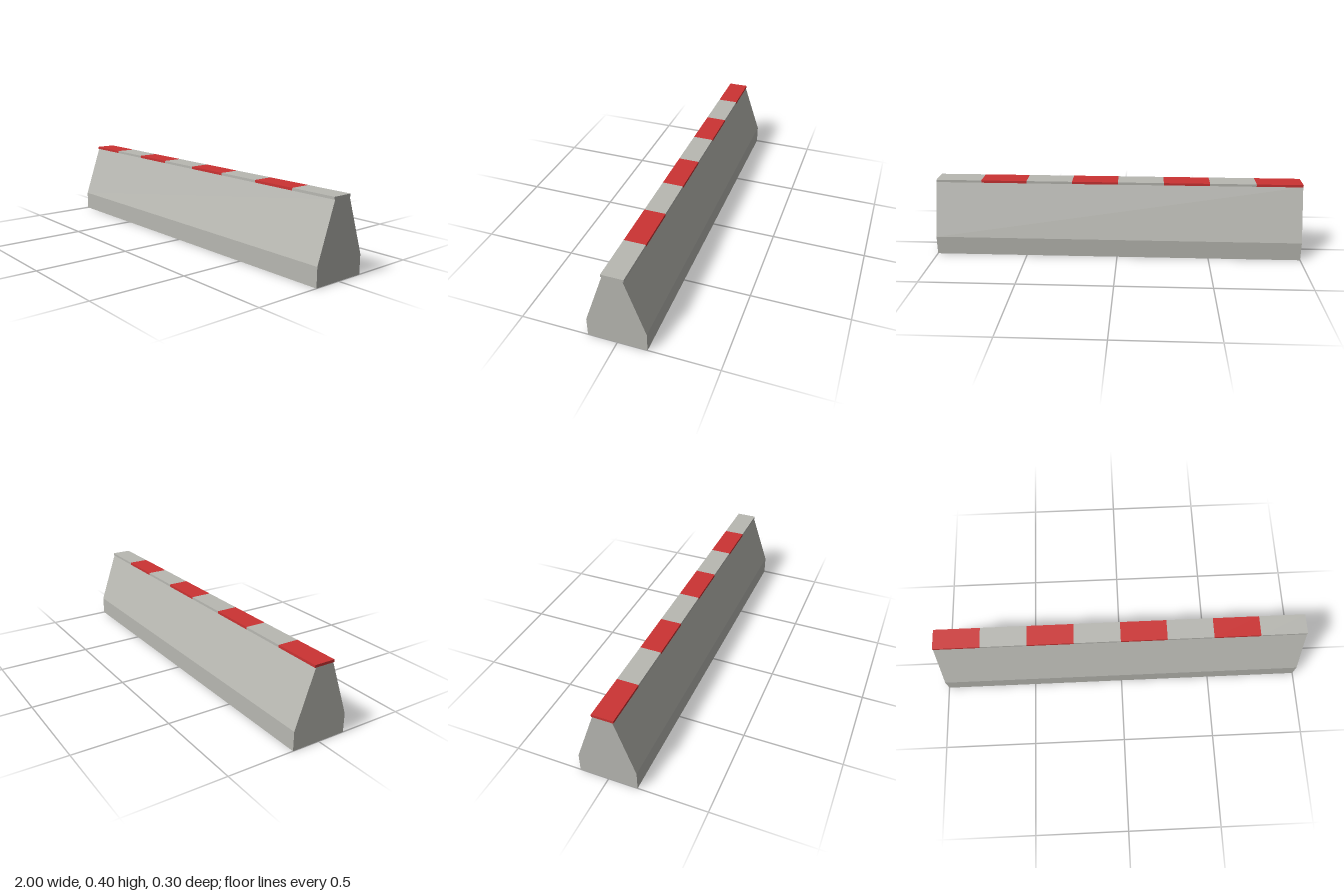
import * as THREE from 'three';

export function createModel() {
  const model = new THREE.Group();
  model.name = 'roadBarrier';

  const concrete = new THREE.MeshStandardMaterial({ name: 'concrete grey', color: 0xb8b8b2 });
  const red = new THREE.MeshStandardMaterial({ name: 'warning red', color: 0xcc3333 });

  const length = 2, height = 0.4, capHeight = 0.013, capWidth = 0.11;
  const capBase = height - capHeight;

  // Concrete body: upright foot with sloping sides, extruded along x
  const profile = new THREE.Shape([
    [-0.15, 0], [0.15, 0], [0.15, 0.1], [0.05, capBase], [-0.05, capBase], [-0.15, 0.1],
  ].map(([z, y]) => new THREE.Vector2(z, y)));
  const bodyGeometry = new THREE.ExtrudeGeometry(profile, { depth: length, bevelEnabled: false });
  bodyGeometry.translate(0, 0, -length / 2).rotateY(Math.PI / 2);
  const body = new THREE.Mesh(bodyGeometry, concrete);
  body.name = 'body';
  model.add(body);

  // Cap strip: alternating red and grey blocks, slightly overhanging
  const cap = new THREE.Group();
  cap.name = 'capStrip';
  const count = 8, step = length / count;
  const blockGeometry = new THREE.BoxGeometry(step, capHeight, capWidth);
  for (let i = 0; i < count; i++) {
    const isRed = i % 2 === 0;
    const block = new THREE.Mesh(blockGeometry, isRed ? red : concrete);
    block.name = isRed ? 'redCapBlock' : 'greyCapBlock';
    block.position.set(-length / 2 + step * (i + 0.5), capBase + capHeight / 2, 0);
    cap.add(block);
  }
  model.add(cap);

  return model;
}
